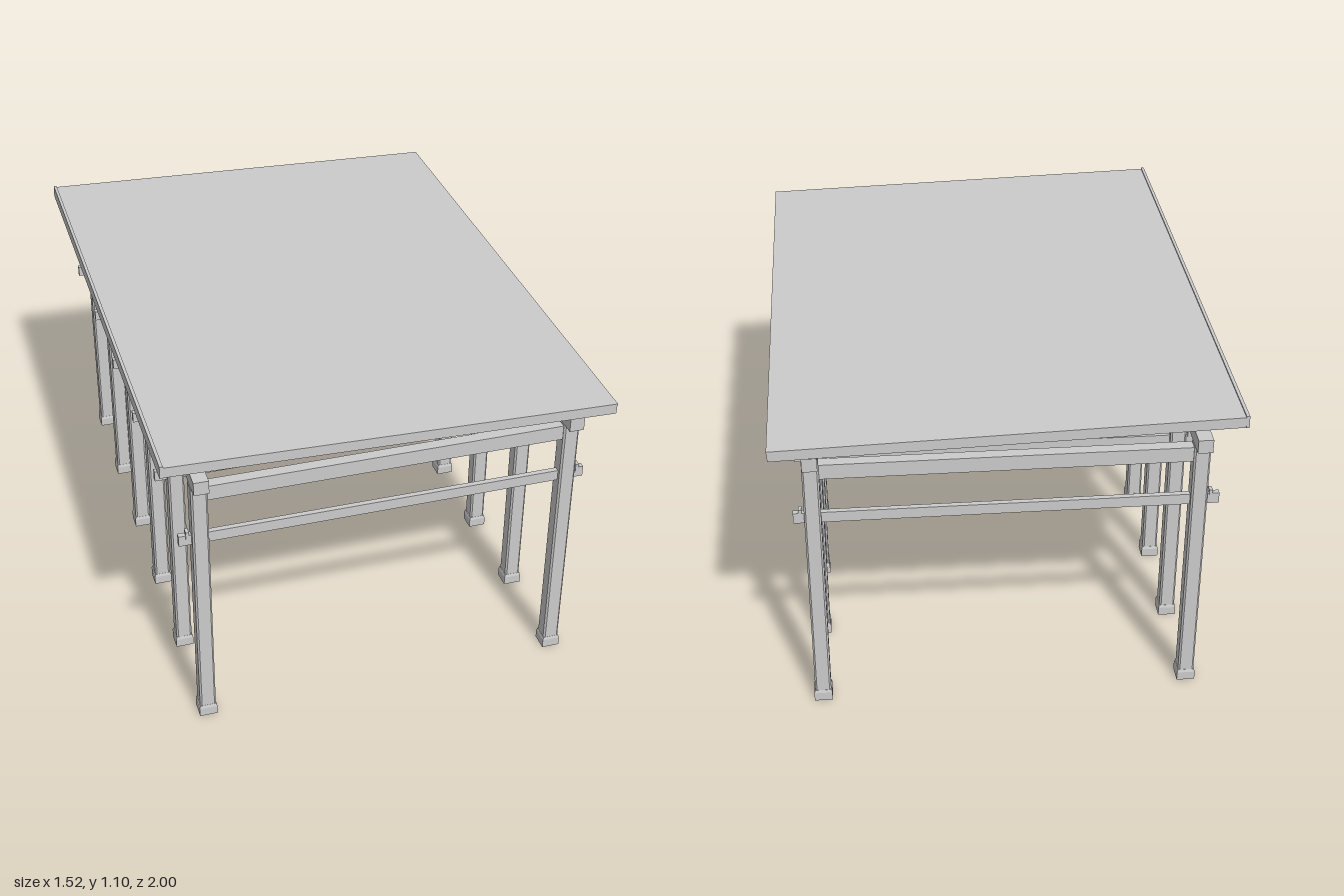
import * as THREE from 'three';

const material = new THREE.MeshStandardMaterial({ color: 0xcccccc, flatShading: true });

function add(parent, name, geometry, x = 0, y = 0, z = 0) {
  const mesh = new THREE.Mesh(geometry, material);
  mesh.name = name;
  mesh.position.set(x, y, z);
  parent.add(mesh);
  return mesh;
}

const box = (w, h, d) => new THREE.BoxGeometry(w, h, d);

// Upright square post with chamfered corners, from y = 0 up to height
function chamferedPost(width, chamfer, height) {
  const a = width / 2, b = a - chamfer;
  const corners = [[a, -b], [a, b], [b, a], [-b, a], [-a, b], [-a, -b], [-b, -a], [b, -a]];
  const shape = new THREE.Shape(corners.map(([x, y]) => new THREE.Vector2(x, y)));
  return new THREE.ExtrudeGeometry(shape, { depth: height, bevelEnabled: false }).rotateX(-Math.PI / 2);
}

// Post foot: a block whose top edge slopes in towards the post
function footBlock(width, height, topWidth) {
  const geometry = box(width, height, width, 1, 3, 1);
  const block = new THREE.BoxGeometry(width, height, width, 1, 4, 1).translate(0, height / 2, 0);
  geometry.dispose();
  const p = block.attributes.position;
  for (let i = 0; i < p.count; i++) {
    if (p.getY(i) > height - 1e-5) {
      p.setX(i, Math.sign(p.getX(i)) * topWidth / 2);
      p.setZ(i, Math.sign(p.getZ(i)) * topWidth / 2);
    }
  }
  block.computeVertexNormals();
  return block;
}

export function createModel() {
  const model = new THREE.Group();
  model.name = 'openShelter';

  const postX = 0.631, postTop = 0.957;
  const postGeometry = chamferedPost(0.055, 0.006, postTop);
  const footGeometry = footBlock(0.062, 0.042, 0.056);

  // Six identical frames, each with two posts, a crossbeam and a wedged tie
  for (let i = 0; i < 6; i++) {
    const frame = new THREE.Group();
    frame.name = 'frame';
    frame.position.z = (i - 2.5) * 0.369;
    model.add(frame);

    for (const side of [-1, 1]) {
      add(frame, 'post', postGeometry, side * postX);
      add(frame, 'postFoot', footGeometry, side * postX);
      add(frame, 'tieWedge', box(0.011, 0.03, 0.024), side * 0.672, 0.765, 0);
    }
    add(frame, 'crossbeam', box(1.21, 0.053, 0.04), 0, 0.927, 0);
    add(frame, 'tieBeam', box(1.396, 0.038, 0.019), -0.003, 0.747, 0);
  }

  // Long beams resting on the posts
  for (const side of [-1, 1]) {
    add(model, 'purlin', box(0.05, 0.048, 1.97), side * postX, 0.981, 0);
  }

  // Sloping roof: high on -x, low on +x
  const roof = new THREE.Group();
  roof.name = 'roof';
  roof.position.y = 1.0325;
  roof.rotation.z = -0.0296;
  model.add(roof);

  add(roof, 'roofPanel', box(1.522, 0.008, 2), 0, 0.034, 0);
  for (let i = 0; i < 15; i++) {
    add(roof, 'rafter', box(1.52, 0.031, 0.019), 0, 0.0155, (i - 7) * 0.1412);
  }
  // Board closing the rafter ends on the high edge, standing just above the panel
  add(roof, 'fasciaBoard', box(0.011, 0.043, 2), -0.7575, 0.0215, 0);

  return model;
}
